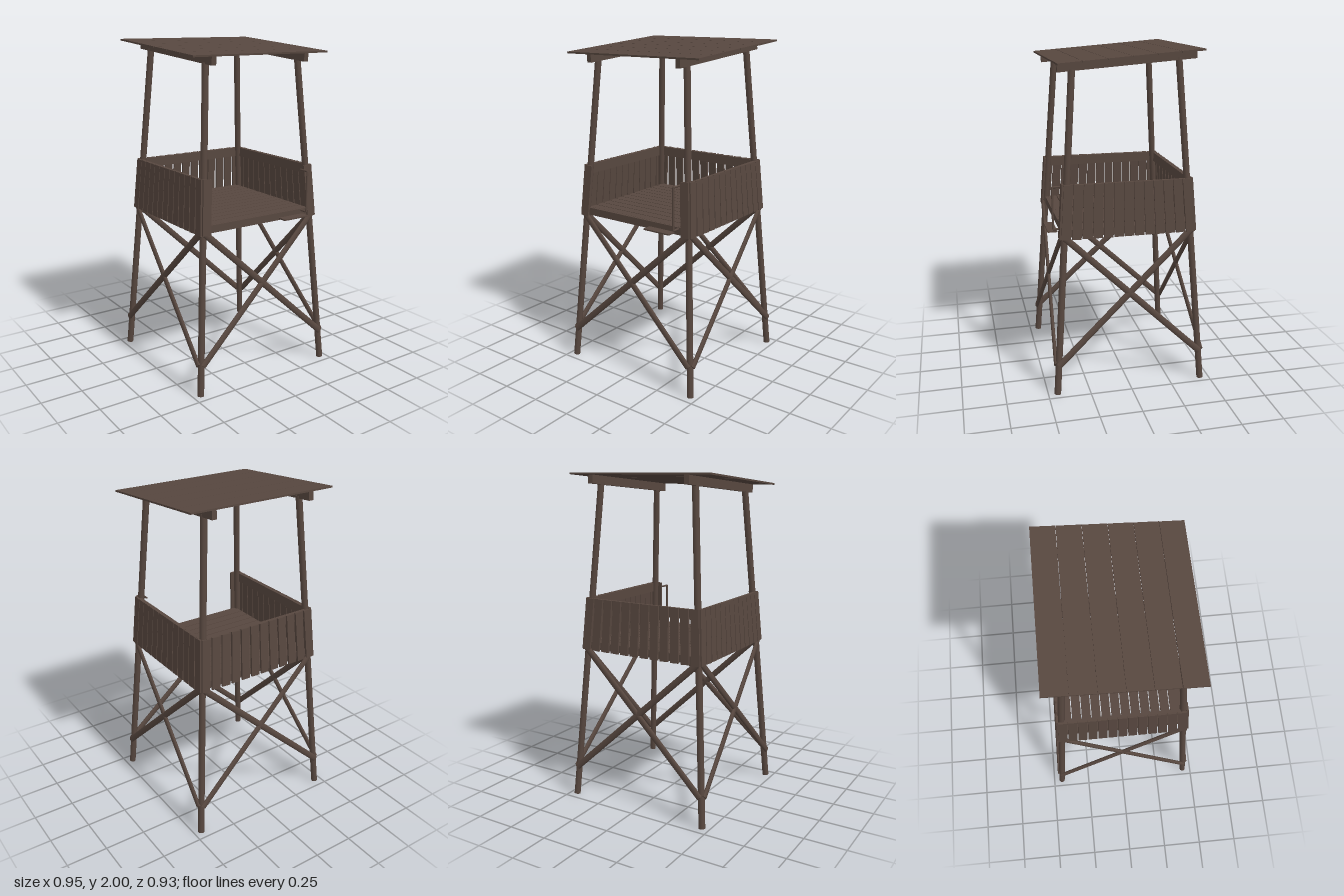
import * as THREE from 'three';

const V = (x, y, z) => new THREE.Vector3(x, y, z);
const wood = new THREE.MeshStandardMaterial({ color: 0x57473f });
wood.name = 'weathered brown wood';

// Orient a mesh so its y axis runs from a to b and its z axis faces "out"
function place(mesh, a, b, out) {
  const y = b.clone().sub(a).normalize();
  const x = y.clone().cross(out).normalize();
  const z = x.clone().cross(y);
  mesh.quaternion.setFromRotationMatrix(new THREE.Matrix4().makeBasis(x, y, z));
  mesh.position.copy(a).add(b).multiplyScalar(0.5);
  return mesh;
}

function board(name, a, b, width, thick, out) {
  const m = new THREE.Mesh(new THREE.BoxGeometry(width, a.distanceTo(b), thick), wood);
  m.name = name;
  return place(m, a, b, out);
}

function pole(name, a, b, r, out = V(0, 0, 1), flatten = 1) {
  const g = new THREE.CylinderGeometry(r, r, a.distanceTo(b), 10);
  g.scale(1, 1, flatten);
  const m = new THREE.Mesh(g, wood);
  m.name = name;
  return place(m, a, b, out);
}

// Centre line of the inward leaning legs at a given height
const legX = y => 0.455 - 0.0705 * y;
const legZ = y => 0.445 - 0.0725 * y;

export function createModel() {
  const model = new THREE.Group();
  model.name = 'watchtower';

  // Four legs, the back pair taller
  for (const sx of [-1, 1]) for (const sz of [-1, 1]) {
    const top = sz > 0 ? 1.89 : 1.945;
    model.add(pole('leg', V(sx * legX(0), 0, sz * legZ(0)), V(sx * legX(top), top, sz * legZ(top)), 0.02));
  }

  // Flattened cross braces on the outside of all four sides
  const braces = new THREE.Group();
  braces.name = 'crossBraces';
  for (const s of [-1, 1]) for (const d of [-1, 1]) {
    const lo = 0.185, hi = 0.955, off = 0.019;
    braces.add(pole('brace',
      V(d * legX(lo), lo, s * (legZ(lo) + off)), V(-d * legX(hi), hi, s * (legZ(hi) + off)), 0.02, V(0, 0, s), 0.55));
    braces.add(pole('brace',
      V(s * (legX(lo) + off), lo, d * legZ(lo)), V(s * (legX(hi) + off), hi, -d * legZ(hi)), 0.02, V(s, 0, 0), 0.55));
  }
  model.add(braces);

  // Floor planks running side to side, on joists
  const floor = new THREE.Group();
  floor.name = 'floor';
  const planks = 12;
  for (let i = 0; i < planks; i++) {
    const z = -0.365 + (i + 0.5) * 0.73 / planks;
    floor.add(board('floorPlank', V(-0.375, 0.985, z), V(0.375, 0.985, z), 0.055, 0.016, V(0, 1, 0)));
  }
  for (const s of [-1, 1]) {
    floor.add(board('joist', V(s * 0.365, 0.962, -0.375), V(s * 0.365, 0.962, 0.375), 0.02, 0.03, V(0, 1, 0)));
    floor.add(board('crossJoist', V(-0.39, 0.97, s * 0.37), V(0.39, 0.97, s * 0.37), 0.02, 0.045, V(0, 1, 0)));
  }
  model.add(floor);

  // Leaning picket walls; the front keeps only its end pickets
  const y0 = 0.945, y1 = 1.26;
  function wall(name, out, count, width, keep) {
    const g = new THREE.Group();
    g.name = name;
    const along = V(out.z, 0, -out.x);
    const isSide = out.x !== 0;
    const point = (t, y, off) => {
      const depth = (isSide ? legX(y) : legZ(y)) + off;
      const half = (isSide ? legZ(y) : legX(y)) + 0.021 - width / 2;
      return out.clone().multiplyScalar(depth).addScaledVector(along, t * half).setY(y);
    };
    for (let i = 0; i < count; i++) {
      if (!keep(i)) continue;
      const t = 2 * i / (count - 1) - 1;
      g.add(board('picket', point(t, y0, 0.025), point(t, y1, 0.025), width, 0.012, out));
    }
    if (name !== 'frontWall') {
      g.add(board('topRail', point(-0.97, 1.23, 0.011), point(0.97, 1.23, 0.011), 0.058, 0.016, out));
    }
    model.add(g);
  }
  wall('leftWall', V(1, 0, 0), 13, 0.054, () => true);
  wall('rightWall', V(-1, 0, 0), 13, 0.054, () => true);
  wall('backWall', V(0, 0, -1), 12, 0.053, () => true);
  wall('frontWall', V(0, 0, 1), 12, 0.056, i => i === 0 || i === 11);

  // Entry step and grab handle at the open front
  model.add(board('entryStep', V(0.13, 0.967, 0.432), V(0.31, 0.967, 0.432), 0.056, 0.008, V(0, 1, 0)));
  const handle = new THREE.Group();
  handle.name = 'grabHandle';
  const pts = [V(0.32, 0.985, 0.385), V(0.32, 0.985, 0.43), V(0.32, 1.235, 0.43), V(0.32, 1.235, 0.37)];
  for (let i = 0; i < 3; i++) handle.add(pole('handleRod', pts[i], pts[i + 1], 0.006, V(1, 0, 0)));
  model.add(handle);

  // Sloped roof: two beams on the legs carrying six slightly skewed planks
  const roof = new THREE.Group();
  roof.name = 'roof';
  const roofY = z => 1.963 - 0.078 * z;
  const up = V(0, 1, 0.078).normalize();
  for (const s of [-1, 1]) {
    roof.add(board('roofBeam', V(s * 0.32, roofY(-0.405) - 0.031, -0.405), V(s * 0.32, roofY(0.39) - 0.031, 0.39), 0.03, 0.05, up));
  }
  for (let i = 0; i < 6; i++) {
    const z = -0.343 + i * 0.1375, skew = i * 0.001;
    roof.add(board('roofPlank',
      V(-0.468, roofY(z + skew), z + skew), V(0.466, roofY(z - skew), z - skew), 0.135, 0.01, up));
  }
  model.add(roof);

  return model;
}
